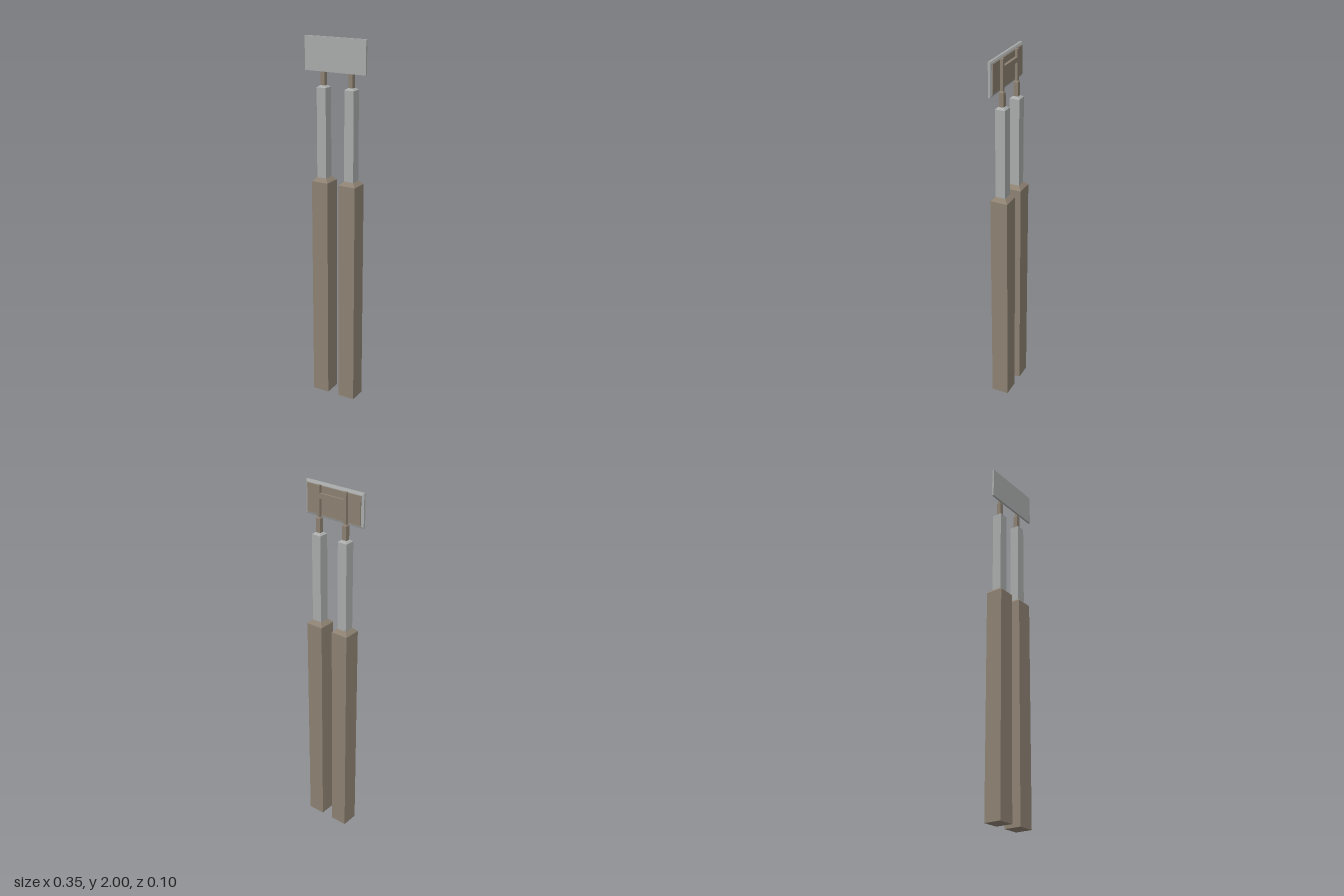
import * as THREE from 'three';

export function createModel() {
  const group = new THREE.Group();
  const brown = new THREE.MeshStandardMaterial({ color: 0x8c8071 });
  brown.name = 'weatheredBrown';
  const silver = new THREE.MeshStandardMaterial({ color: 0xa8abaa });
  silver.name = 'paleSilver';

  const add = (parent, name, geometry, material) => {
    const mesh = new THREE.Mesh(geometry, material);
    mesh.name = name;
    parent.add(mesh);
    return mesh;
  };

  // Square post section that may taper from one half-width to another
  const section = (parent, name, half0, half1, y0, y1, material) => {
    const g = new THREE.CylinderGeometry(half1 * Math.SQRT2, half0 * Math.SQRT2, y1 - y0, 4, 1)
      .rotateY(Math.PI / 4).translate(0, (y0 + y1) / 2, 0).toNonIndexed();
    g.computeVertexNormals();
    return add(parent, name, g, material);
  };

  // Box given by its limits; the back (-z) face can be inset to form a bevel
  const block = (name, w, y0, y1, z0, z1, material, inset = 0) => {
    const g = new THREE.BoxGeometry(w, y1 - y0, z1 - z0);
    const p = g.attributes.position;
    for (let i = 0; i < p.count; i++) {
      if (p.getZ(i) > 0) continue;
      p.setX(i, p.getX(i) - Math.sign(p.getX(i)) * inset);
      p.setY(i, p.getY(i) - Math.sign(p.getY(i)) * inset);
    }
    g.computeVertexNormals();
    add(group, name, g, material).position.set(0, (y0 + y1) / 2, (z0 + z1) / 2);
  };

  // Two telescoping posts
  for (const side of [-1, 1]) {
    const post = new THREE.Group();
    post.name = side > 0 ? 'leftPost' : 'rightPost';
    post.position.x = side * 0.082;
    section(post, 'lowerPost', 0.048, 0.048, 0, 1.245, brown);
    section(post, 'lowerPostBevel', 0.048, 0.028, 1.245, 1.265, brown);
    section(post, 'middlePost', 0.027, 0.027, 1.265, 1.742, silver);
    section(post, 'middlePostBevel', 0.027, 0.0135, 1.742, 1.752, silver);
    section(post, 'upperPost', 0.0125, 0.0125, 1.752, 1.825, brown);
    section(post, 'upperPostBevel', 0.0125, 0.0075, 1.825, 1.832, brown);
    section(post, 'signRail', 0.0075, 0.0075, 1.832, 1.992, brown);
    group.add(post);
  }

  // Bar joining the two rails behind the board
  block('crossbar', 0.152, 1.928, 1.953, -0.0075, 0.0075, brown);

  // Blank sign board with a bevelled rim and a backing plate
  block('signBoard', 0.355, 1.825, 2, 0.0165, 0.0275, silver);
  block('signBoardBevel', 0.355, 1.825, 2, 0.012, 0.0165, silver, 0.0105);
  block('signBacking', 0.328, 1.8385, 1.9865, 0.0075, 0.012, brown);

  return group;
}
